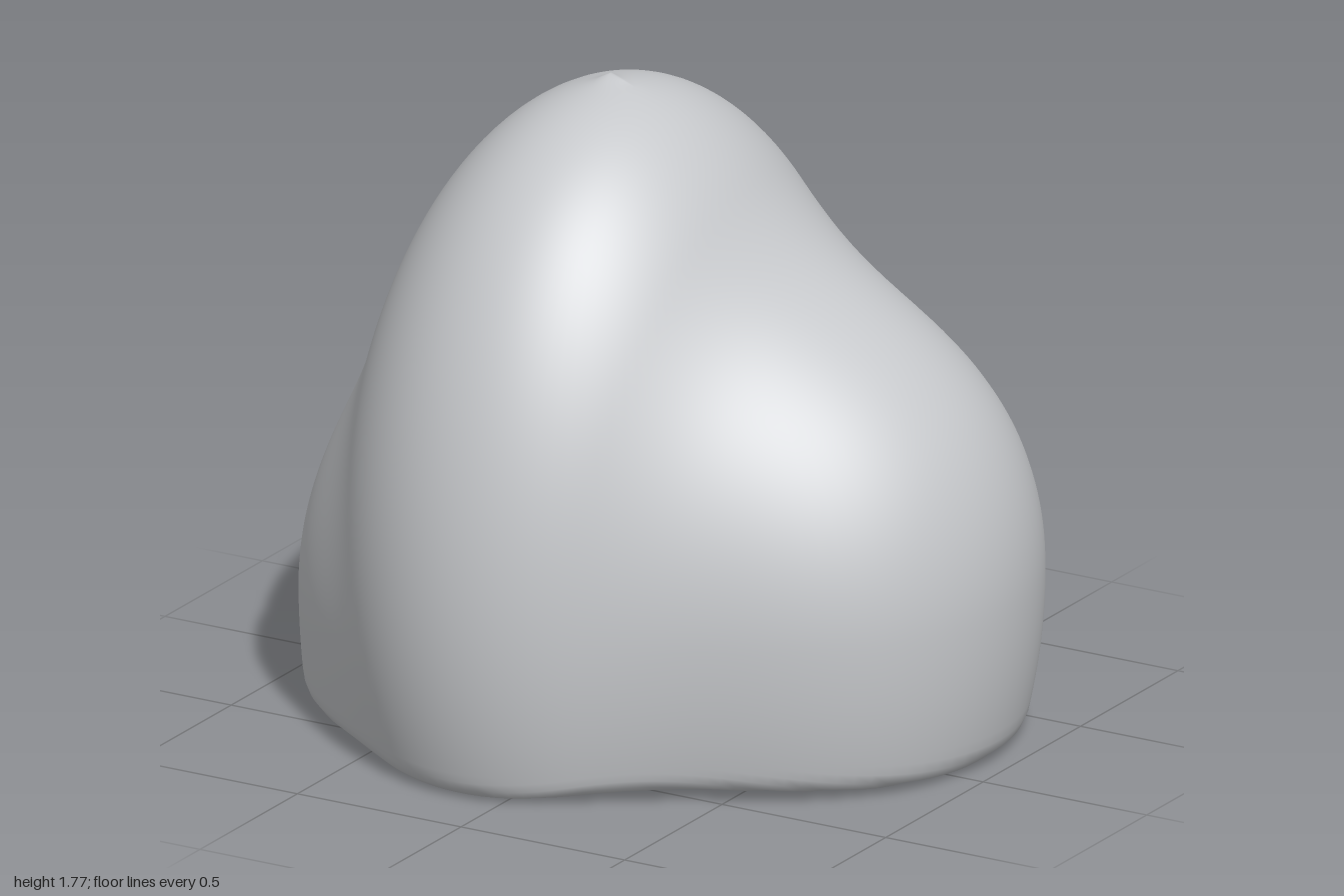
import * as THREE from 'three';
import { mergeVertices } from 'three/addons/utils/BufferGeometryUtils.js';

// Overlapping lobes of the boulder: centre, radii, and vertical radius below the centre
const lobes = [
  { c: [-0.13, 0.5, 0], r: [0.65, 1.255, 0.88], down: 1.25 },     // tall ridge
  { c: [0.46, 0.45, -0.13], r: [0.54, 0.72, 0.62], down: 1.0 },   // left shoulder
  { c: [-0.49, 0.3, 0.08], r: [0.46, 0.57, 0.43], down: 1.1 },    // right shoulder
];

// Small pointed nubs: position, height
const nubs = [
  { p: new THREE.Vector3(-0.13, 1.755, 0), h: 0.03 },
  { p: new THREE.Vector3(-0.97, 0.18, 0.05), h: 0.03 },
];

function smoothMin(a, b, k) {
  const h = Math.max(k - Math.abs(a - b), 0) / k;
  return Math.min(a, b) - h * h * k / 4;
}

function lobeDistance({ c, r, down }, p) {
  const ry = p.y < c[1] ? down : r[1];
  return (Math.hypot((p.x - c[0]) / r[0], (p.y - c[1]) / ry, (p.z - c[2]) / r[2]) - 1) * 0.65;
}

function field(p) {
  let d = lobeDistance(lobes[0], p);
  for (const lobe of lobes.slice(1)) d = smoothMin(d, lobeDistance(lobe, p), 0.35);
  // Uneven, faintly dished underside with a rounded rim
  const q = p.x * p.x / 0.8 + p.z * p.z / 0.6;
  const dish = 0.05 * Math.max(0, 1 - q * q);
  const floor = 0.01 - 0.008 * p.z - 0.01 * p.x + 0.02 * p.x * p.x + dish;
  return -smoothMin(-d, -(floor - p.y), 0.05);
}

export function createModel() {
  const group = new THREE.Group();
  group.name = 'boulder';
  const stone = new THREE.MeshStandardMaterial({ color: 0xc6c8cb });
  stone.name = 'grey stone';

  let geometry = new THREE.SphereGeometry(1, 128, 112);
  geometry.deleteAttribute('uv');
  geometry.deleteAttribute('normal');
  geometry = mergeVertices(geometry, 1e-5);

  // Push each vertex out along its ray until it meets the blended surface
  const origin = new THREE.Vector3(-0.06, 0.4, 0);
  const pos = geometry.attributes.position;
  const dir = new THREE.Vector3();
  const p = new THREE.Vector3();
  for (let i = 0; i < pos.count; i++) {
    dir.fromBufferAttribute(pos, i).normalize();
    let near = 0, far = 2;
    for (let n = 0; n < 26; n++) {
      const mid = (near + far) / 2;
      p.copy(origin).addScaledVector(dir, mid);
      if (field(p) < 0) near = mid; else far = mid;
    }
    p.copy(origin).addScaledVector(dir, near);
    let lift = 0;
    for (const nub of nubs) lift += nub.h * Math.exp(-p.distanceTo(nub.p) / 0.035);
    p.addScaledVector(dir, lift);
    pos.setXYZ(i, p.x, p.y, p.z);
  }
  geometry.computeVertexNormals();

  const rock = new THREE.Mesh(geometry, stone);
  rock.name = 'rock';
  group.add(rock);
  return group;
}
